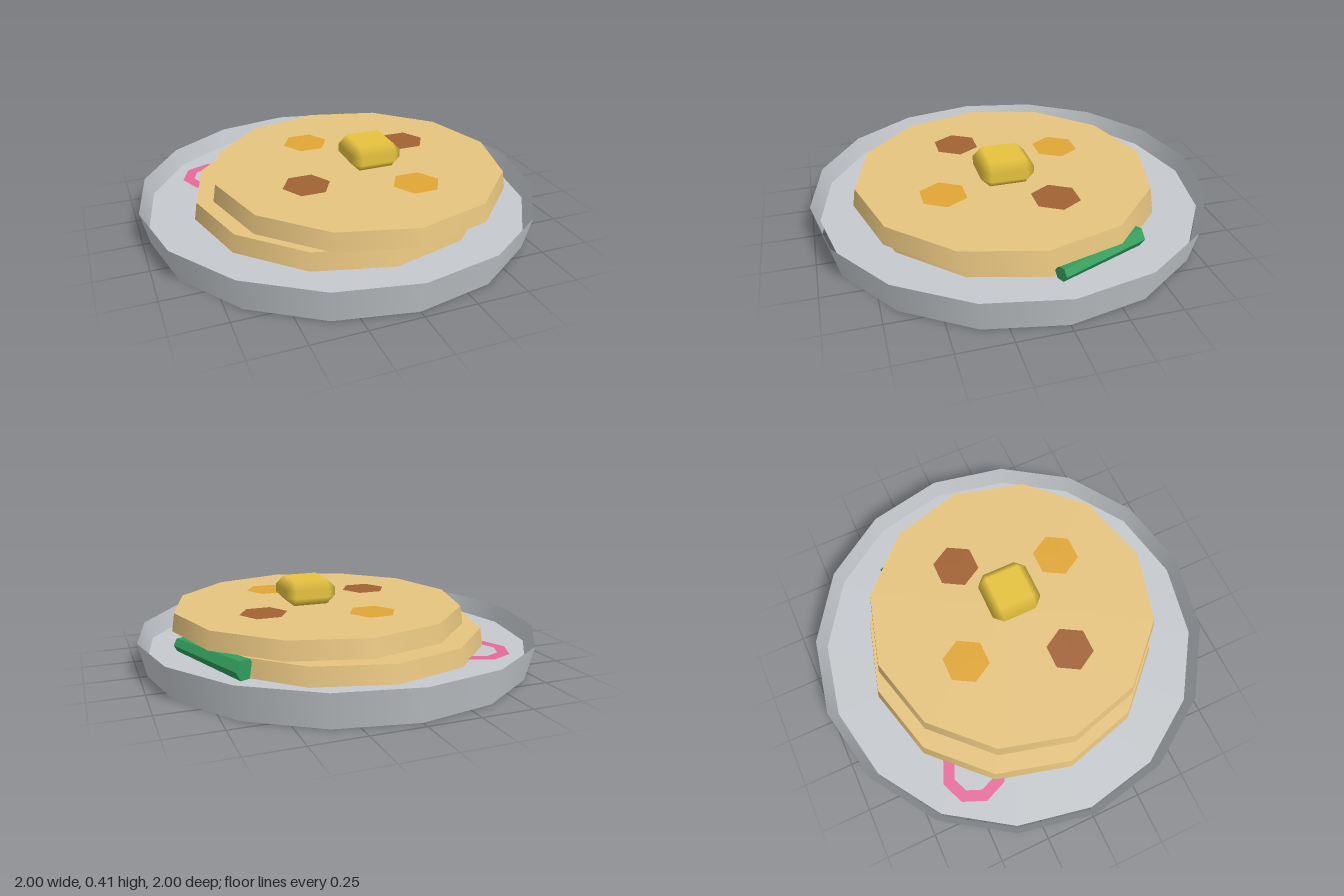
import * as THREE from 'three';
import { ConvexGeometry } from 'three/addons/geometries/ConvexGeometry.js';

const material = (name, color, extra = {}) => {
  const m = new THREE.MeshStandardMaterial({ color, ...extra });
  m.name = name;
  return m;
};

// Box with cut edges: flat faces, with the cuts shaded softly between them
function chamferedBox(x, y, z, cut) {
  const points = [];
  for (const sx of [-1, 1]) for (const sy of [-1, 1]) for (const sz of [-1, 1]) {
    points.push(
      new THREE.Vector3(sx * x, sy * (y - cut), sz * (z - cut)),
      new THREE.Vector3(sx * (x - cut), sy * y, sz * (z - cut)),
      new THREE.Vector3(sx * (x - cut), sy * (y - cut), sz * z));
  }
  const box = new ConvexGeometry(points);
  const { position, normal } = box.attributes;
  // Each corner takes the normal of the face it lies on
  const onFace = (value, half) => (Math.abs(value) > half - cut / 2 ? Math.sign(value) : 0);
  for (let i = 0; i < position.count; i++) {
    normal.setXYZ(i, onFace(position.getX(i), x), onFace(position.getY(i), y), onFace(position.getZ(i), z));
  }
  return box;
}

export function createModel() {
  const model = new THREE.Group();
  const both = { side: THREE.DoubleSide };
  const grey = material('plate grey', 0xc5c9cd, both);
  const batter = material('golden batter', 0xe6c47f);
  const butterYellow = material('butter yellow', 0xe6c23e);
  const brown = material('toasted brown', 0xa26234);
  const amber = material('amber', 0xe0a636);
  const green = material('green', 0x2f9e5c, { flatShading: true });
  const pink = material('pink', 0xea6a9c, both);

  const add = (name, geometry, mat, x, y, z) => {
    const mesh = new THREE.Mesh(geometry, mat);
    mesh.name = name;
    mesh.position.set(x, y, z);
    model.add(mesh);
    return mesh;
  };

  // Shallow dish: flared open wall, flat floor and a rounded underside
  add('plateRim', new THREE.CylinderGeometry(1, 0.962, 0.165, 16, 1, true), grey, 0, 0.0825, 0);
  add('plateFloor', new THREE.CircleGeometry(0.96, 16).rotateX(-Math.PI / 2), grey, 0, 0.082, 0);
  const bowl = new THREE.SphereGeometry(0.96, 16, 6, 0, Math.PI * 2, Math.PI / 2, Math.PI / 2);
  add('plateUnderside', bowl.scale(1, 0.08 / 0.96, 1), grey, 0, 0.081, 0);

  // Two slightly tapered pancakes, the upper one shifted
  const pancake = new THREE.CylinderGeometry(0.727, 0.741, 0.088, 12);
  add('lowerPancake', pancake, batter, 0, 0.131, 0);
  add('upperPancake', pancake, batter, 0.087, 0.239, 0.055);

  // Flat hexagonal spots on the top
  const spot = new THREE.CircleGeometry(0.118, 6).rotateX(-Math.PI / 2);
  [[-0.08, -0.27, amber], [0.255, 0.388, amber], [0.417, -0.11, brown], [-0.24, 0.225, brown]]
    .forEach(([x, z, mat]) => add('toppingSpot', spot, mat, x, 0.287, z));

  // Butter pat with cut edges
  add('butter', chamferedBox(0.13, 0.063, 0.13, 0.043), butterYellow, 0.146, 0.346, 0.07);

  // Pink ring tucked under the stack
  add('pinkRing', new THREE.RingGeometry(0.104, 0.163, 8).rotateX(-Math.PI / 2), pink, -0.555, 0.093, -0.45);

  // Green spear beside the stack, narrowing to the front with a level top
  const spear = new THREE.CylinderGeometry(0.036, 0.052, 0.49, 6).rotateY(Math.PI / 6).rotateX(Math.PI / 2 - 0.03);
  add('greenSpear', spear, green, 0.698, 0.138, -0.228).rotation.y = 0.44;

  return model;
}
